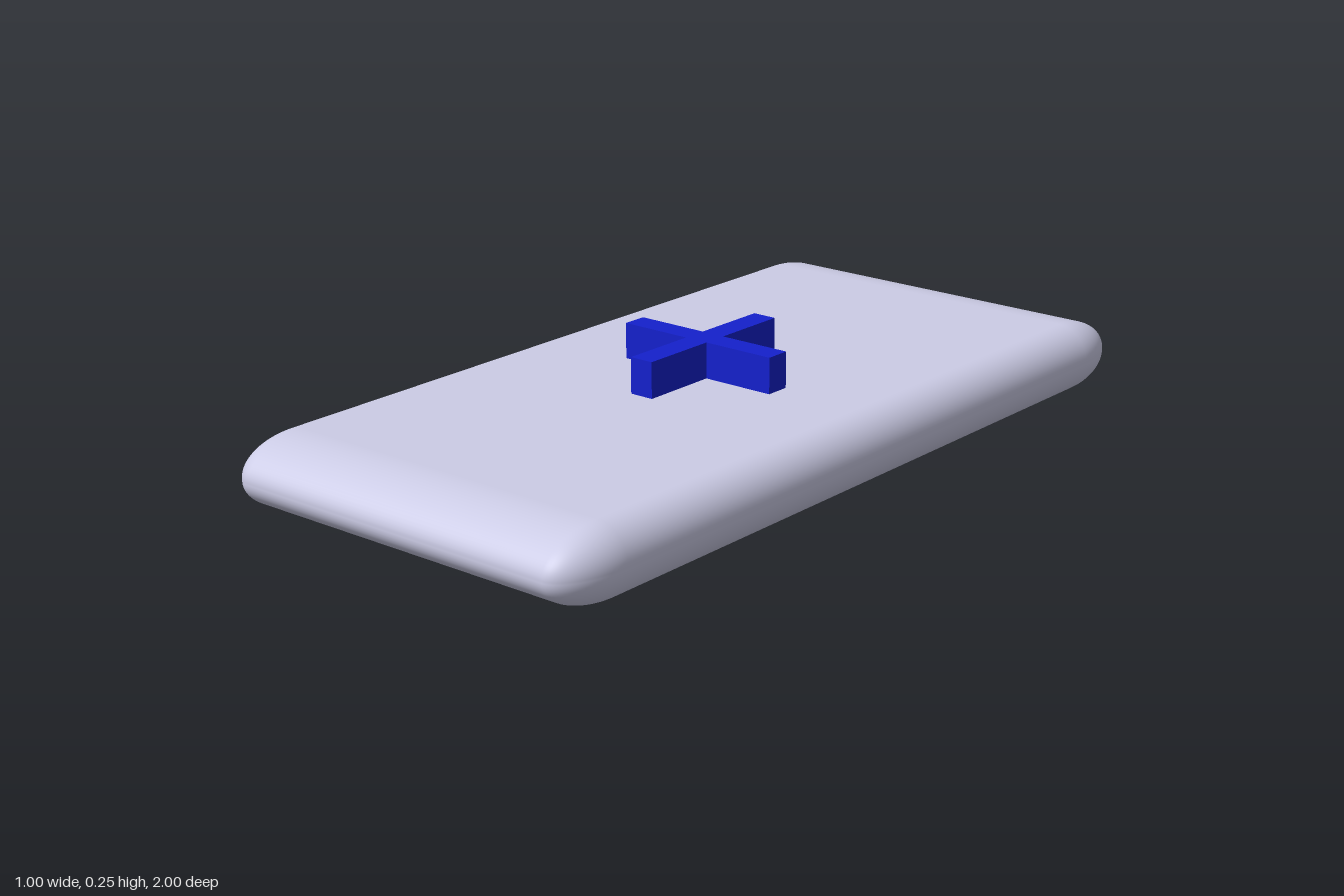
import * as THREE from 'three';
import { RoundedBoxGeometry } from 'three/addons/geometries/RoundedBoxGeometry.js';

const HEIGHT = 0.165;

export function createModel() {
  const model = new THREE.Group();

  // Slab: rounded box stretched lengthwise, so its end rounding is elliptical
  const slabGeometry = new RoundedBoxGeometry(1, HEIGHT, 1, 10, 0.08);
  slabGeometry.scale(1, 1, 2);
  slabGeometry.translate(0, HEIGHT / 2, 0);
  const slab = new THREE.Mesh(slabGeometry, new THREE.MeshStandardMaterial({ color: 0xcccce6 }));
  slab.name = 'slab';
  model.add(slab);

  // Raised cross: plus-shaped outline extruded upwards
  const armX = 0.21, armZ = 0.22, w = 0.03, base = 0.16, top = 0.25;
  const outline = new THREE.Shape([
    [w, w], [w, armZ], [-w, armZ], [-w, w], [-armX, w], [-armX, -w],
    [-w, -w], [-w, -armZ], [w, -armZ], [w, -w], [armX, -w], [armX, w],
  ].map(([x, y]) => new THREE.Vector2(x, y)));
  const crossGeometry = new THREE.ExtrudeGeometry(outline, { depth: top - base, bevelEnabled: false });
  crossGeometry.rotateX(-Math.PI / 2);
  crossGeometry.translate(0, base, 0);
  const cross = new THREE.Mesh(crossGeometry, new THREE.MeshStandardMaterial({ color: 0x1420cc }));
  cross.name = 'raisedCross';
  model.add(cross);

  return model;
}
